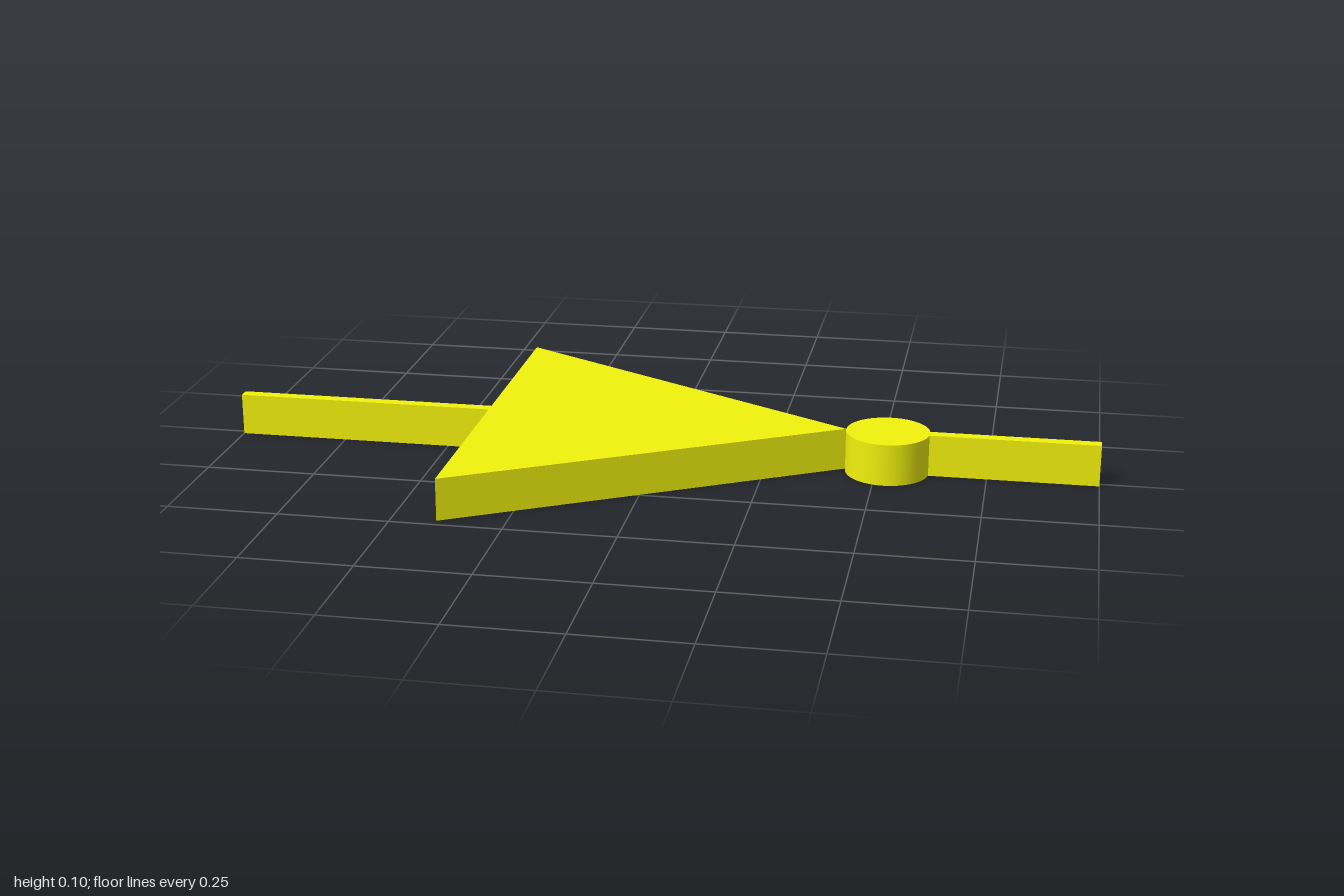
import * as THREE from 'three';

const HEIGHT = 0.096;
const WIRE_WIDTH = 0.027;

export function createModel() {
  const group = new THREE.Group();
  group.name = 'inverterSymbol';
  const material = new THREE.MeshStandardMaterial({ color: 0xf2f20d });

  const add = (name, geometry, x = 0, y = 0) => {
    const mesh = new THREE.Mesh(geometry, material);
    mesh.name = name;
    mesh.position.set(x, y, 0);
    group.add(mesh);
  };

  // Triangular body, lying flat with its tip towards +x
  const triangle = new THREE.Shape([
    new THREE.Vector2(-0.4, -0.478),
    new THREE.Vector2(0.43, 0),
    new THREE.Vector2(-0.4, 0.478),
  ]);
  const body = new THREE.ExtrudeGeometry(triangle, { depth: HEIGHT, bevelEnabled: false });
  body.rotateX(-Math.PI / 2);
  add('triangleBody', body);

  // Round bubble at the tip
  add('bubble', new THREE.CylinderGeometry(0.095, 0.095, HEIGHT, 48), 0.525, HEIGHT / 2);

  // Thin wires running out to both ends
  for (const [name, from, to] of [['inputWire', -1, -0.4], ['outputWire', 0.617, 1]]) {
    add(name, new THREE.BoxGeometry(to - from, HEIGHT, WIRE_WIDTH), (from + to) / 2, HEIGHT / 2);
  }

  return group;
}
